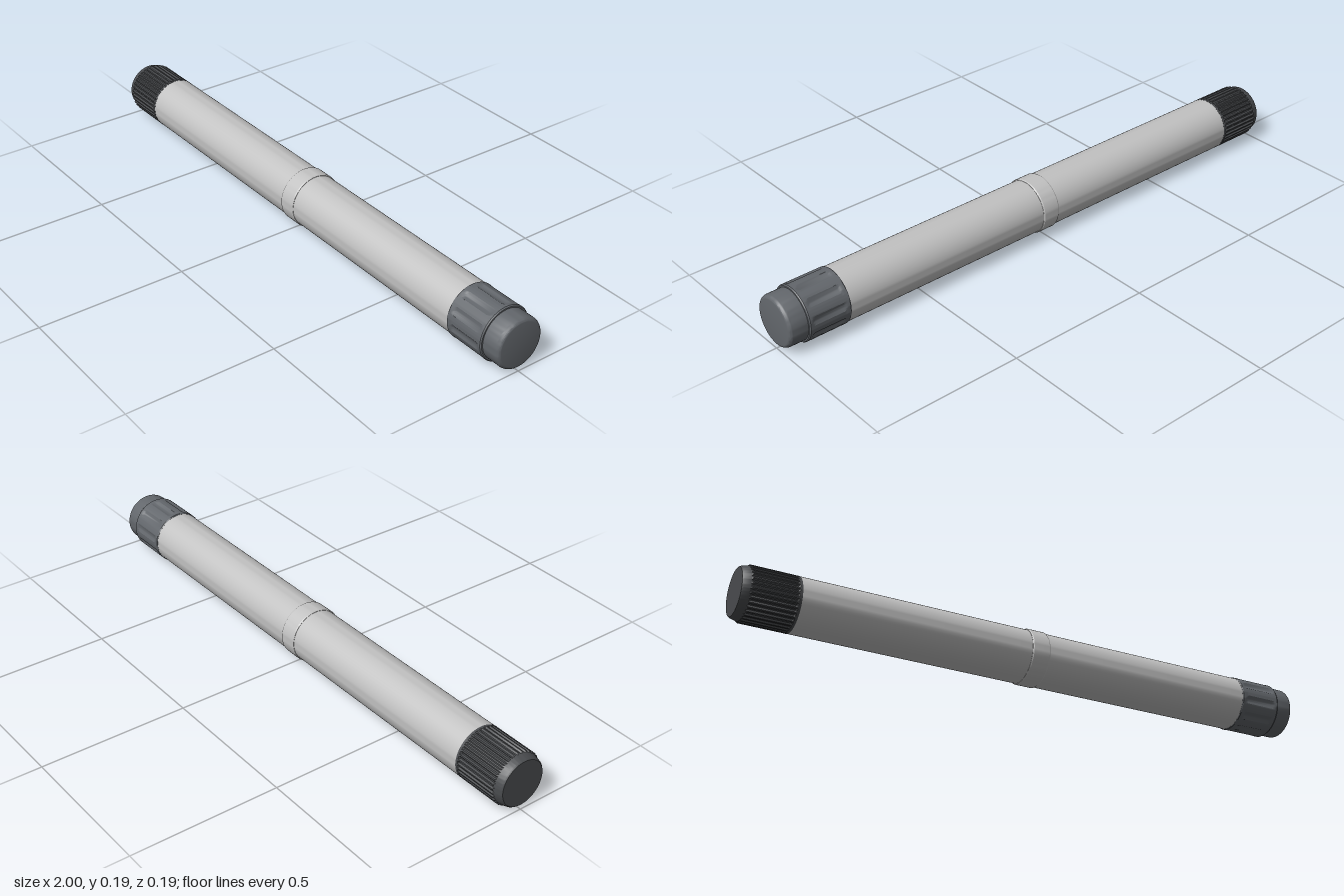
import * as THREE from 'three';
import { toCreasedNormals } from 'three/addons/utils/BufferGeometryUtils.js';

const AXIS_Y = 0.0935;

// Turned part along x from [x, radius] pairs; cut(x, segment) gives the depth of grooves
function turned(name, profile, material, segments = 64, cut = null) {
  const points = profile.map(([x, r]) => new THREE.Vector2(r, x));
  const geometry = new THREE.LatheGeometry(points, segments);
  if (cut) {
    const pos = geometry.attributes.position;
    for (let k = 0; k < pos.count; k++) {
      const segment = Math.floor(k / points.length) % segments;
      const r = Math.hypot(pos.getX(k), pos.getZ(k));
      if (r < 1e-6) continue;
      const scale = (r - cut(pos.getY(k), segment)) / r;
      pos.setX(k, pos.getX(k) * scale);
      pos.setZ(k, pos.getZ(k) * scale);
    }
  }
  geometry.rotateZ(-Math.PI / 2);
  const mesh = new THREE.Mesh(toCreasedNormals(geometry, 0.5), material);
  mesh.name = name;
  mesh.position.y = AXIS_Y;
  return mesh;
}

export function createModel() {
  const make = (name, color) => {
    const m = new THREE.MeshStandardMaterial({ color });
    m.name = name;
    return m;
  };
  const silver = make('silver barrel', 0xc2c2c2);
  const charcoal = make('charcoal knurl', 0x4a4c4f);
  const slate = make('slate grip', 0x63676c);

  const group = new THREE.Group();
  group.name = 'pen';

  // Two barrel halves joined by a slightly raised band
  group.add(turned('rearBarrel', [[-0.82, 0], [-0.82, 0.09], [-0.03, 0.09], [-0.03, 0]], silver));
  group.add(turned('frontBarrel', [[0.03, 0], [0.03, 0.09], [0.79, 0.09], [0.79, 0]], silver));
  group.add(turned('centreBand', [
    [-0.032, 0.088], [-0.032, 0.091], [-0.028, 0.0935], [0.028, 0.0935], [0.032, 0.091], [0.032, 0.088],
  ], silver));

  // Knurled end cap: 36 straight ribs and a chamfered end
  const ribs = (x, s) => (x > -0.972 && x < -0.825 && s % 4 > 1 ? 0.005 : 0);
  group.add(turned('knurledCap', [
    [-1, 0], [-1, 0.077], [-0.995, 0.081], [-0.975, 0.086], [-0.97, 0.0905],
    [-0.828, 0.0905], [-0.823, 0.0905], [-0.815, 0.0905], [-0.815, 0],
  ], charcoal, 144, ribs));

  // Fluted collar: ten shallow scallops that fade out at both ends
  const flutes = (x, s) => {
    const along = THREE.MathUtils.smoothstep(x, 0.798, 0.812)
      * (1 - THREE.MathUtils.smoothstep(x, 0.912, 0.926));
    const t = (s % 12) / 12;
    return t < 0.5 ? 0.006 * along * Math.sin(t * 2 * Math.PI) : 0;
  };
  group.add(turned('flutedCollar', [
    [0.788, 0], [0.788, 0.0905], [0.791, 0.0925], [0.798, 0.0925], [0.805, 0.0925], [0.812, 0.0925],
    [0.912, 0.0925], [0.919, 0.0925], [0.926, 0.0925], [0.932, 0.0925], [0.936, 0.0895], [0.936, 0],
  ], slate, 120, flutes));

  // Push button with a rounded rim
  const button = [[0.93, 0.085], [0.985, 0.085]];
  for (let i = 1; i <= 6; i++) {
    const a = (i / 6) * Math.PI / 2;
    button.push([0.985 + 0.015 * Math.sin(a), 0.073 + 0.012 * Math.cos(a)]);
  }
  button.push([1, 0]);
  group.add(turned('endButton', button, slate));

  return group;
}
